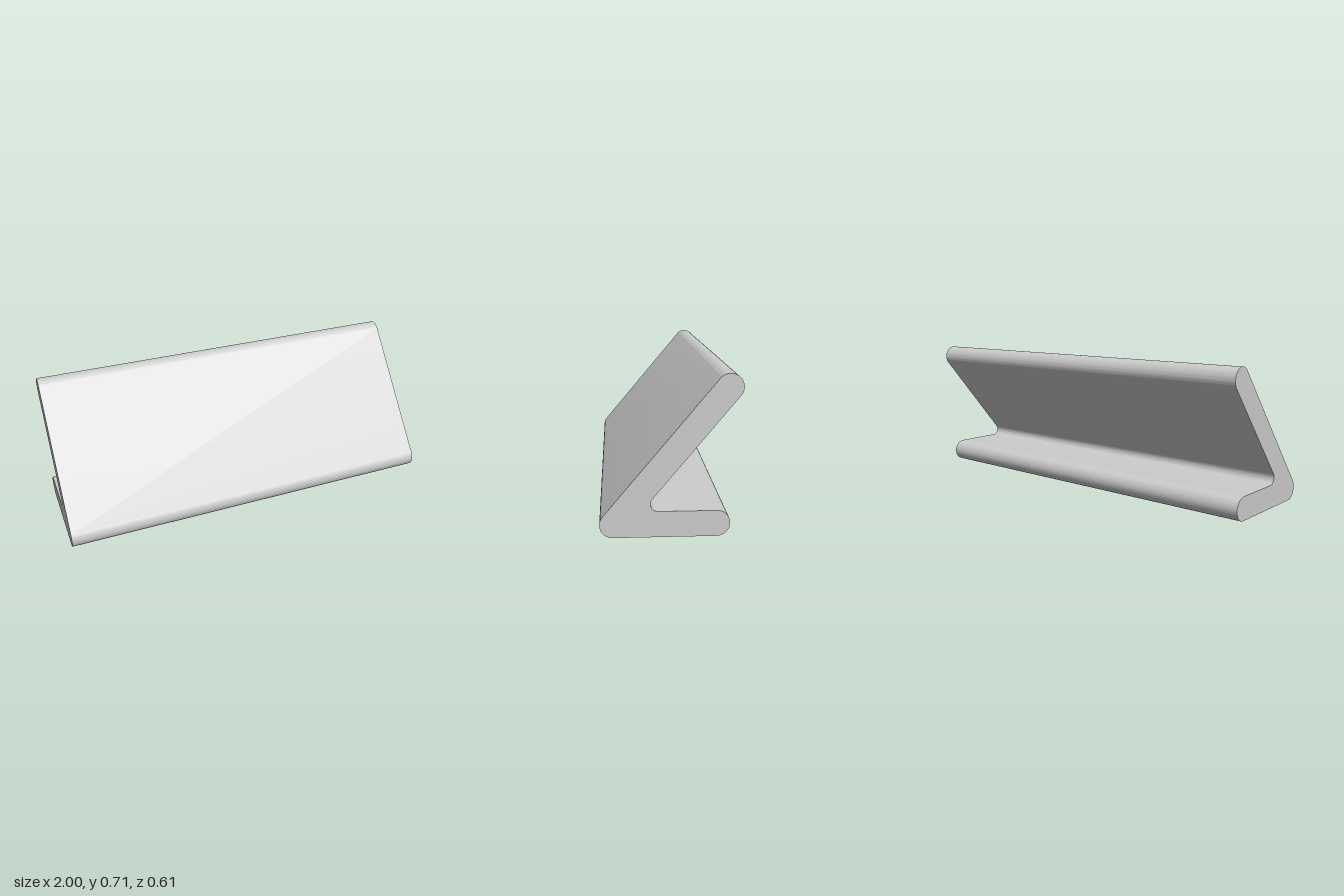
import * as THREE from 'three';
import { toCreasedNormals } from 'three/addons/utils/BufferGeometryUtils.js';

export function createModel() {
  const r = 0.0575;      // half thickness of both plates
  const fillet = 0.033;  // inner corner radius
  const corner = new THREE.Vector2(-0.2475, r);
  const footEnd = new THREE.Vector2(0.198, r);
  const topEnd = new THREE.Vector2(0.2465, 0.6485);
  const lean = topEnd.clone().sub(corner).angle();
  const quarter = Math.PI / 2;

  // Fillet centre, equally far from the foot and the leaning plate
  const d = r + fillet;
  const fx = corner.x + d * (1 + Math.cos(lean)) / Math.sin(lean);
  const fy = corner.y + d;

  // Side profile, drawn counter-clockwise; arcs are joined by straight edges
  const profile = new THREE.Shape();
  profile.absarc(corner.x, corner.y, r, lean + quarter, 3 * quarter, false);
  profile.absarc(footEnd.x, footEnd.y, r, -quarter, quarter, false);
  profile.absarc(fx, fy, fillet, 3 * quarter, lean + quarter, true);
  profile.absarc(topEnd.x, topEnd.y, r, lean - quarter, lean + quarter, false);

  // Extrude across the full width, then turn the profile to face the sides
  const raw = new THREE.ExtrudeGeometry(profile, { depth: 2, bevelEnabled: false, curveSegments: 32 });
  raw.translate(0, 0, -1);
  raw.rotateY(quarter);

  const stand = new THREE.Mesh(
    toCreasedNormals(raw, 0.6),
    new THREE.MeshStandardMaterial({ color: 0xcccccc })
  );
  stand.name = 'leaningPlateWithFoot';

  const group = new THREE.Group();
  group.name = 'deskSignStand';
  group.add(stand);
  return group;
}
